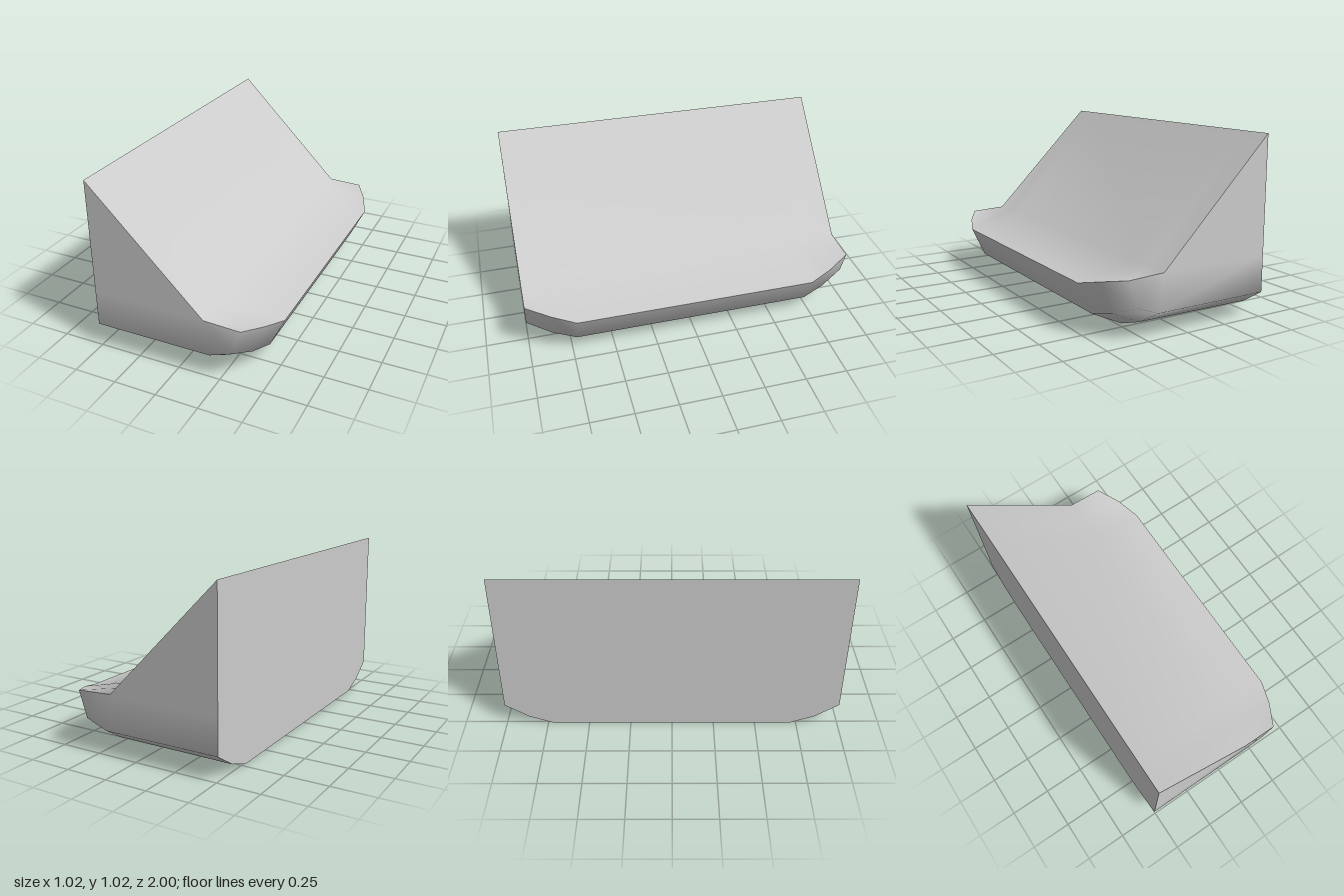
import * as THREE from 'three';
import { mergeVertices } from 'three/addons/utils/BufferGeometryUtils.js';

// Surface through rows of points, smooth inside and sharp at its borders
function loft(rows) {
  const n = rows[0].length, index = [];
  for (let v = 0; v < rows.length - 1; v++) {
    for (let u = 0; u < n - 1; u++) {
      const a = v * n + u, b = a + n;
      index.push(a, b, a + 1, b, b + 1, a + 1);
    }
  }
  const g = new THREE.BufferGeometry();
  g.setAttribute('position', new THREE.Float32BufferAttribute(rows.flat(2), 3));
  g.setIndex(index);
  const merged = mergeVertices(g, 1e-4);
  merged.computeVertexNormals();
  return merged;
}

export function createModel() {
  const group = new THREE.Group();
  const grey = new THREE.MeshStandardMaterial({ color: 0xcccccc });
  const add = (name, rows) => {
    const mesh = new THREE.Mesh(loft(rows), grey);
    mesh.name = name;
    group.add(mesh);
  };

  const back = -0.51, peak = 1.025, crease = [0.16, 0.352];
  const endRim = [0.375, 0.342];

  // Half of the cross-sections, from the end face down to the flat bottom:
  // z, then x/y points from the back edge out to the rim
  const sections = [
    [1, [[back, peak], crease, crease, endRim]],
    [1, [[back, 0.352], crease, crease, endRim]],
    [1, [[back, 0.14], [0.19, 0.14], [0.325, 0.19], endRim]],
    [0.86, [[back, 0.05], [0.215, 0.055], [0.38, 0.13], [0.455, 0.312]]],
    [0.72, [[back, 0], [0.235, 0.008], [0.42, 0.095], [0.507, 0.278]]],
  ];
  const row = (z, pts) => pts.map(([x, y]) => [x, y, z]);
  const half = sections.map(([z, p]) => row(z, p));
  const mirrored = sections.map(([z, p]) => row(-z, p)).reverse();
  add('hull', [...half, ...mirrored]);

  // Sloping top and back wall share the stations along z
  const stations = sections.slice(2);
  const along = [
    ...stations.map(([z, p]) => [-z, p]),
    ...[...stations].reverse(),
  ];
  add('slopeAndLip', along.map(([z, p]) => row(z, [[back, peak], crease, p[3]])));
  add('backWall', along.map(([z, p]) => row(z, [p[0], [back, peak]])));

  return group;
}
